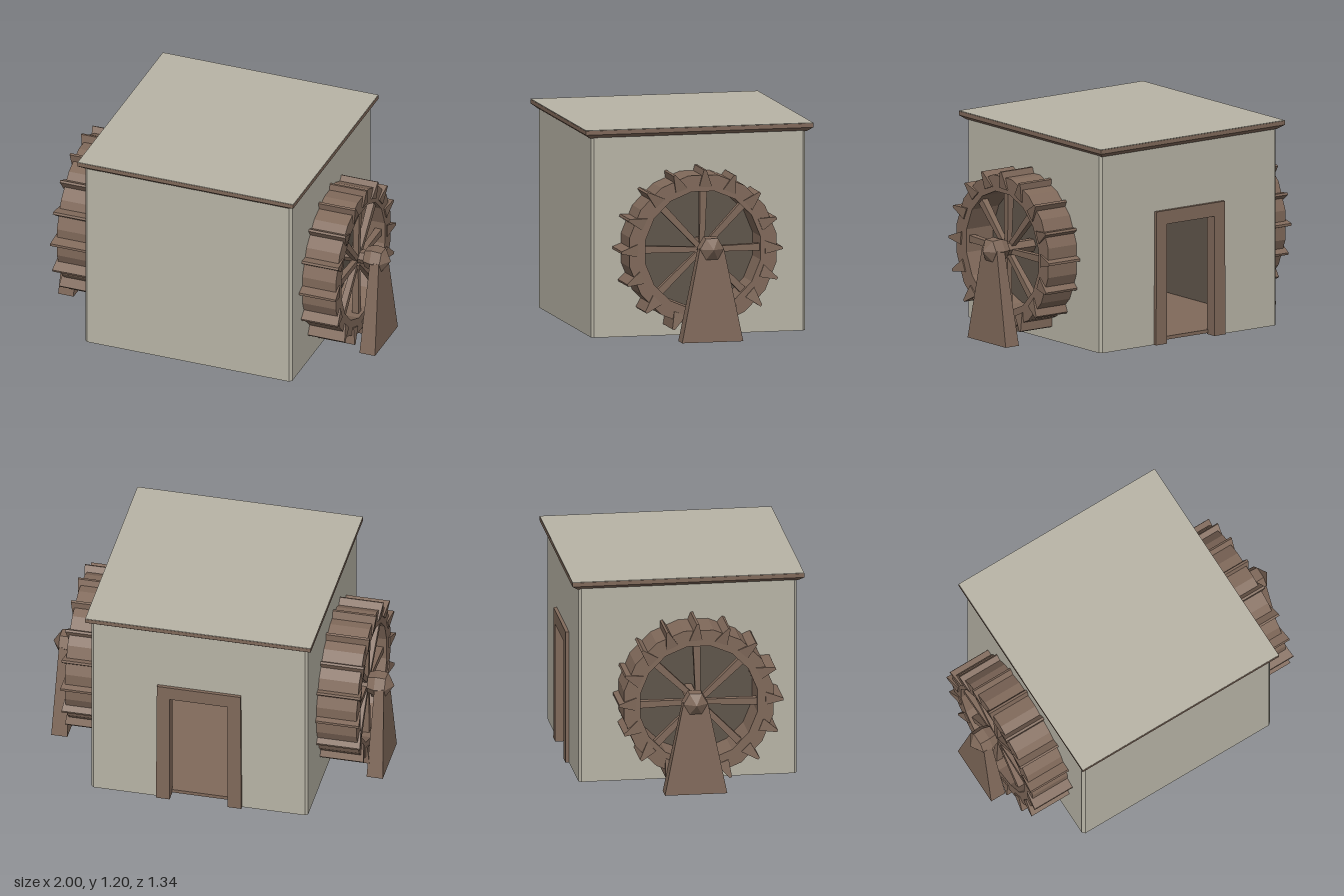
import * as THREE from 'three';

const mat = (color) => new THREE.MeshStandardMaterial({ color, flatShading: true });

export function createModel() {
  const model = new THREE.Group();
  const plaster = mat(0xb8b4a6), wood = mat(0x80695a), darkWood = mat(0x5f554a);

  const add = (parent, name, geometry, material, x = 0, y = 0, z = 0) => {
    const mesh = new THREE.Mesh(geometry, material);
    mesh.name = name;
    mesh.position.set(x, y, z);
    parent.add(mesh);
    return mesh;
  };
  const box = (w, h, d) => new THREE.BoxGeometry(w, h, d);
  const polygon = (points) => new THREE.Shape(points.map(([x, y]) => new THREE.Vector2(x, y)));
  const extrude = (shape, depth) => new THREE.ExtrudeGeometry(shape, { depth, bevelEnabled: false });
  // Four-sided frustum with square ends, given as half-widths
  const frustum = (top, bottom, height) =>
    new THREE.CylinderGeometry(top * Math.SQRT2, bottom * Math.SQRT2, height, 4).rotateY(Math.PI / 4);

  // House: U-shaped walls with chamfered corners
  const X = 0.635, Z = 0.63, c = 0.015, t = 0.04, H = 1.16;
  const walls = polygon([
    [X - t, Z - t], [X - t, -Z + t], [-X + t, -Z + t], [-X + t, Z - t],
    [-X + t, Z], [-X + c, Z], [-X, Z - c], [-X, -Z + c], [-X + c, -Z],
    [X - c, -Z], [X, -Z + c], [X, Z - c], [X - c, Z], [X - t, Z],
  ]);
  add(model, 'walls', extrude(walls, H).rotateX(-Math.PI / 2), plaster);

  // Back wall with the doorway
  const W = X - t;
  const back = polygon([
    [-W, 0], [-0.18, 0], [-0.18, 0.7], [0.18, 0.7], [0.18, 0], [W, 0], [W, H], [-W, H],
  ]);
  add(model, 'backWall', extrude(back, t), plaster, 0, 0, -Z);

  // Door frame
  const frame = polygon([
    [-0.25, 0], [-0.17, 0], [-0.17, 0.7], [0.17, 0.7], [0.17, 0], [0.25, 0], [0.245, 0.78], [-0.245, 0.78],
  ]);
  add(model, 'doorFrame', extrude(frame, 0.07), wood, 0, 0, -0.65);

  // Floor, underside hatch and inner lining
  add(model, 'floor', box(2 * W, 0.02, 2 * (Z - t)), wood, 0, 0.018, 0);
  add(model, 'floorHatch', box(0.8, 0.008, 0.15), wood, -0.03, 0.005, 0.29);
  for (const s of [-1, 1]) {
    add(model, 'sideLining', box(0.01, 1.1, 1.17), darkWood, s * (W - 0.005), 0.58, 0);
  }
  add(model, 'frontLining', box(1.18, 1.1, 0.01), darkWood, 0, 0.58, Z - t - 0.005);

  // Flat roof with a flared wooden edge
  const flare = add(model, 'roofFlare', frustum(1, 0.95, 0.025), wood, 0, 1.1625, 0);
  flare.scale.set(0.662, 1, 0.67);
  add(model, 'roofEdge', box(1.324, 0.023, 1.34), wood, 0, 1.1865, 0);
  add(model, 'roofTop', box(1.322, 0.003, 1.338), plaster, 0, 1.2, 0);

  // Water wheel with its axis along +x, measured outwards from the wall
  const makeWheel = (width, seed) => {
    const wheel = new THREE.Group();
    const wobble = (i) => Math.sin(i * 12.9898 + seed * 4.1);
    const sides = 16;
    const circle = (r) => Array.from({ length: sides }, (_, i) => {
      const a = ((i + 0.5) / sides) * Math.PI * 2;
      return [Math.cos(a) * r, Math.sin(a) * r];
    });
    const ring = polygon(circle(0.44));
    ring.holes.push(polygon(circle(0.345)));
    add(wheel, 'rim', extrude(ring, width).rotateY(Math.PI / 2), wood);
    add(wheel, 'wheelBack', new THREE.CylinderGeometry(0.36, 0.36, 0.01, sides).rotateZ(Math.PI / 2), darkWood, 0.008);

    for (let i = 0; i < sides; i++) {
      // Wedge-shaped paddles, flared along the axle at the tip
      const paddle = frustum(0.5, 0.5, 0.1);
      const p = paddle.attributes.position;
      for (let k = 0; k < p.count; k++) {
        const tip = p.getY(k) > 0;
        p.setX(k, p.getX(k) * (tip ? width + 0.04 : width + 0.015));
        p.setZ(k, p.getZ(k) * (tip ? 0.014 : 0.075) + (tip ? 0.015 * wobble(i + 7) : 0));
      }
      const arm = new THREE.Group();
      arm.name = 'paddleArm';
      arm.rotation.x = (i / sides) * Math.PI * 2 + 0.05 * wobble(i);
      add(arm, 'paddle', paddle, wood, width / 2, 0.425 + 0.012 * wobble(i + 3), 0);
      wheel.add(arm);
    }
    for (let i = 0; i < 8; i++) {
      const arm = new THREE.Group();
      arm.name = 'spokeArm';
      arm.rotation.x = (i / 8) * Math.PI * 2 + 0.03 * wobble(i);
      add(arm, 'spoke', frustum(0.021, 0.015, 0.34), wood, width - 0.04, 0.2, 0);
      wheel.add(arm);
    }
    return wheel;
  };

  // One mill side: wheel, axle, tapered stand and pointed hub
  const makeSide = (name, width, z, seed) => {
    const side = new THREE.Group();
    side.name = name;
    const wheel = makeWheel(width, seed);
    wheel.name = 'waterWheel';
    wheel.position.set(X, 0.515, z);
    side.add(wheel);
    add(side, 'axle', new THREE.CylinderGeometry(0.04, 0.04, 0.3, 6).rotateZ(Math.PI / 2), wood, 0.77, 0.53, 0);

    const stand = frustum(0.5, 0.5, 0.54);
    const p = stand.attributes.position;
    for (let k = 0; k < p.count; k++) {
      const top = p.getY(k) > 0;
      p.setX(k, p.getX(k) * (top ? 0.055 : 0.095));
      p.setZ(k, p.getZ(k) * (top ? 0.14 : 0.36));
    }
    add(side, 'stand', stand, wood, 0.925, 0.27, 0);

    const hub = new THREE.LatheGeometry([
      [0, -0.075], [0.06, -0.075], [0.075, -0.03], [0.07, 0.03], [0, 0.075],
    ].map(([r, y]) => new THREE.Vector2(r, y)), 6);
    add(side, 'hub', hub.rotateZ(-Math.PI / 2), wood, 0.925, 0.535, 0);
    return side;
  };
  const left = makeSide('leftMill', 0.205, 0.025, 1);
  const right = makeSide('rightMill', 0.235, -0.03, 2);
  right.rotation.y = Math.PI;
  model.add(left, right);
  return model;
}
